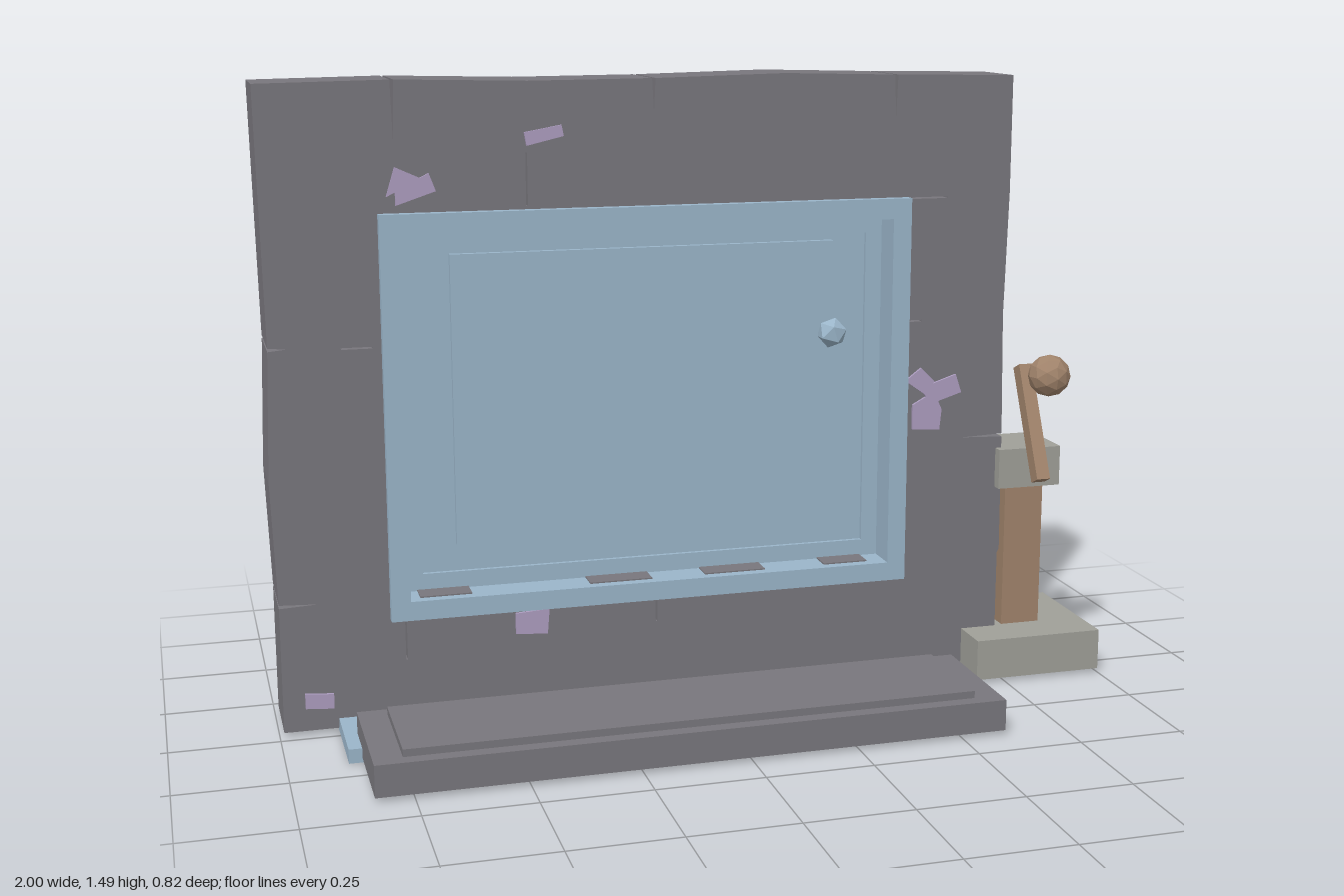
import * as THREE from 'three';

const mat = (name, color) => {
  const m = new THREE.MeshStandardMaterial({ color, flatShading: true });
  m.name = name;
  return m;
};

export function createModel() {
  const root = new THREE.Group();
  root.name = 'wallWithPanelAndLever';
  const stone = mat('dark stone', 0x78767c);
  const blue = mat('pale blue', 0x9ab5c9);
  const brown = mat('wood brown', 0xa0836b);
  const pale = mat('pale stone', 0x9f9f98);
  const purple = mat('purple stone', 0xac9cbf);

  const add = (name, geo, material) => {
    const m = new THREE.Mesh(geo, material);
    m.name = name;
    root.add(m);
    return m;
  };
  // box given by its minimum and maximum on each axis
  const box = (name, material, x0, x1, y0, y1, z0, z1) => {
    const m = add(name, new THREE.BoxGeometry(x1 - x0, y1 - y0, z1 - z0), material);
    m.position.set((x0 + x1) / 2, (y0 + y1) / 2, (z0 + z1) / 2);
    return m;
  };
  const poly = (pts, Type = THREE.Shape) => new Type(pts.map(p => new THREE.Vector2(p[0], p[1])));
  const rect = (x0, x1, y0, y1) => [[x0, y0], [x1, y0], [x1, y1], [x0, y1]];
  const plate = (name, material, outline, holes, z0, z1) => {
    const shape = poly(outline);
    shape.holes = holes.map(h => poly(h, THREE.Path));
    const geo = new THREE.ExtrudeGeometry(shape, { depth: z1 - z0, bevelEnabled: false });
    geo.translate(0, 0, z0);
    return add(name, geo, material);
  };

  // wall outline with narrow joints cut in from the edges
  const g = 0.004;
  const wall = [[-0.99, 0.01], [0.765, 0.01], [0.765, 0.3], [0.77, 0.31]];
  const sideJoint = (x, y, tip) => wall.push([x, y - g], [tip, y], [x, y + g]);
  const topJoint = (x, y, tip) => wall.push([x + g, y], [x, tip], [x - g, y]);
  sideJoint(0.768, 0.6, 0.66);
  wall.push([0.762, 0.9], [0.77, 1.2], [0.77, 1.475]);
  topJoint(0.475, 1.48, 1.38);
  wall.push([0.2, 1.487]);
  topJoint(-0.11, 1.48, 1.4);
  wall.push([-0.4, 1.478]);
  topJoint(-0.7, 1.485, 1.34);
  wall.push([-1, 1.48], [-0.995, 1.19]);
  wall.push([-0.99, 0.9 + g], [-0.95, 0.9], [-0.99, 0.9 - g], [-1, 0.6]);
  wall.push([-0.99, 0.31 + g], [-0.9, 0.31], [-0.99, 0.31 - g]);

  // slits inside the wall face
  const vSlit = (x, y0, y1) => [[x - g / 2, y0], [x + g / 2, y0], [x + g / 2, y1], [x - g / 2, y1]];
  const hSlit = (y, x0, x1) => rect(x0, x1, y - g / 2, y + g / 2);
  plate('stoneWall', stone, wall, [
    rect(-0.7, 0.47, 0.3, 1.15),
    vSlit(-0.405, 1.2, 1.32), vSlit(-0.705, 0.16, 0.25), vSlit(-0.11, 0.2, 0.25),
    hSlit(1.19, 0.52, 0.61), hSlit(0.895, 0.515, 0.55), hSlit(0.895, -0.83, -0.76),
  ], -0.207, -0.025);

  // purple stones passing through the wall
  const stones = [
    [[-0.72, 1.23], [-0.70, 1.24], [-0.70, 1.21], [-0.61, 1.24], [-0.625, 1.28], [-0.645, 1.27], [-0.70, 1.295]],
    [[-0.405, 1.335], [-0.32, 1.355], [-0.325, 1.38], [-0.41, 1.365]],
    [[0.51, 0.75], [0.56, 0.715], [0.585, 0.745], [0.55, 0.78]],
    [[0.55, 0.73], [0.575, 0.69], [0.655, 0.715], [0.64, 0.76]],
    [[0.53, 0.63], [0.60, 0.625], [0.605, 0.675], [0.585, 0.72], [0.53, 0.69]],
    [[-0.45, 0.2], [-0.375, 0.195], [-0.37, 0.255], [-0.45, 0.25]],
    [[-0.94, 0.065], [-0.875, 0.06], [-0.875, 0.095], [-0.94, 0.1]],
  ];
  stones.forEach((s, i) => plate('purpleStone' + (i + 1), purple, s, [], -0.213, -0.018));

  // framed panel
  plate('outerFrame', blue, rect(-0.74, 0.51, 0.26, 1.193), [rect(-0.695, 0.465, 0.305, 1.145)], -0.222, 0);
  plate('innerFrame', blue, rect(-0.695, 0.465, 0.305, 1.145), [rect(-0.655, 0.425, 0.345, 1.105)], -0.14, -0.08);
  box('panelField', blue, -0.66, 0.43, 0.34, 1.11, -0.13, -0.09);
  box('raisedPanel', blue, -0.575, 0.34, 0.41, 1.09, -0.145, -0.075);

  // stone patches on the sill
  for (const [x0, x1] of [[-0.67, -0.55], [-0.27, -0.12], [0.01, 0.16], [0.31, 0.42]])
    box('sillPatch', stone, x0, x1, 0.302, 0.308, -0.205, -0.025);

  // faceted knobs: x, y, z, radius
  const knobs = [
    [0.335, 0.87, -0.06, 0.037],
    [-0.22, 0.47, -0.17, 0.053], [-0.31, 0.535, -0.17, 0.053], [-0.53, 0.62, -0.15, 0.03],
    [-0.5, 1.01, -0.15, 0.026], [0.345, 0.44, -0.16, 0.046], [0.41, 0.47, -0.15, 0.04],
    [0.16, 0.48, -0.15, 0.03], [0.19, 0.62, -0.15, 0.025],
  ];
  knobs.forEach(([x, y, z, r], i) => {
    const k = add(i ? 'backKnob' + i : 'doorKnob', new THREE.IcosahedronGeometry(r, 0), blue);
    k.position.set(x, y, z);
    k.rotation.set(i * 0.7, i * 1.1, 0.3);
  });

  // ground slab and front step
  box('groundSlab', blue, -0.865, 0.635, 0, 0.033, -0.41, 0.175);
  box('frontStep', stone, -0.835, 0.605, 0.01, 0.083, 0.08, 0.407);
  box('stepTop', stone, -0.77, 0.54, 0.08, 0.1, 0.11, 0.375);

  // lever stand
  box('standBase', pale, 0.675, 1, 0.01, 0.11, -0.245, 0.08);
  box('standPost', brown, 0.785, 0.885, 0.11, 0.47, -0.13, -0.03);
  box('standCap', pale, 0.753, 0.915, 0.47, 0.568, -0.163, 0);
  const rod = add('leverRod', new THREE.BoxGeometry(0.034, 0.29, 0.036), brown);
  rod.position.set(0.835, 0.632, 0.002);
  rod.rotation.x = -0.445;
  const ball = add('leverBall', new THREE.IcosahedronGeometry(0.051, 1), brown);
  ball.position.set(0.835, 0.767, 0.09);

  return root;
}
